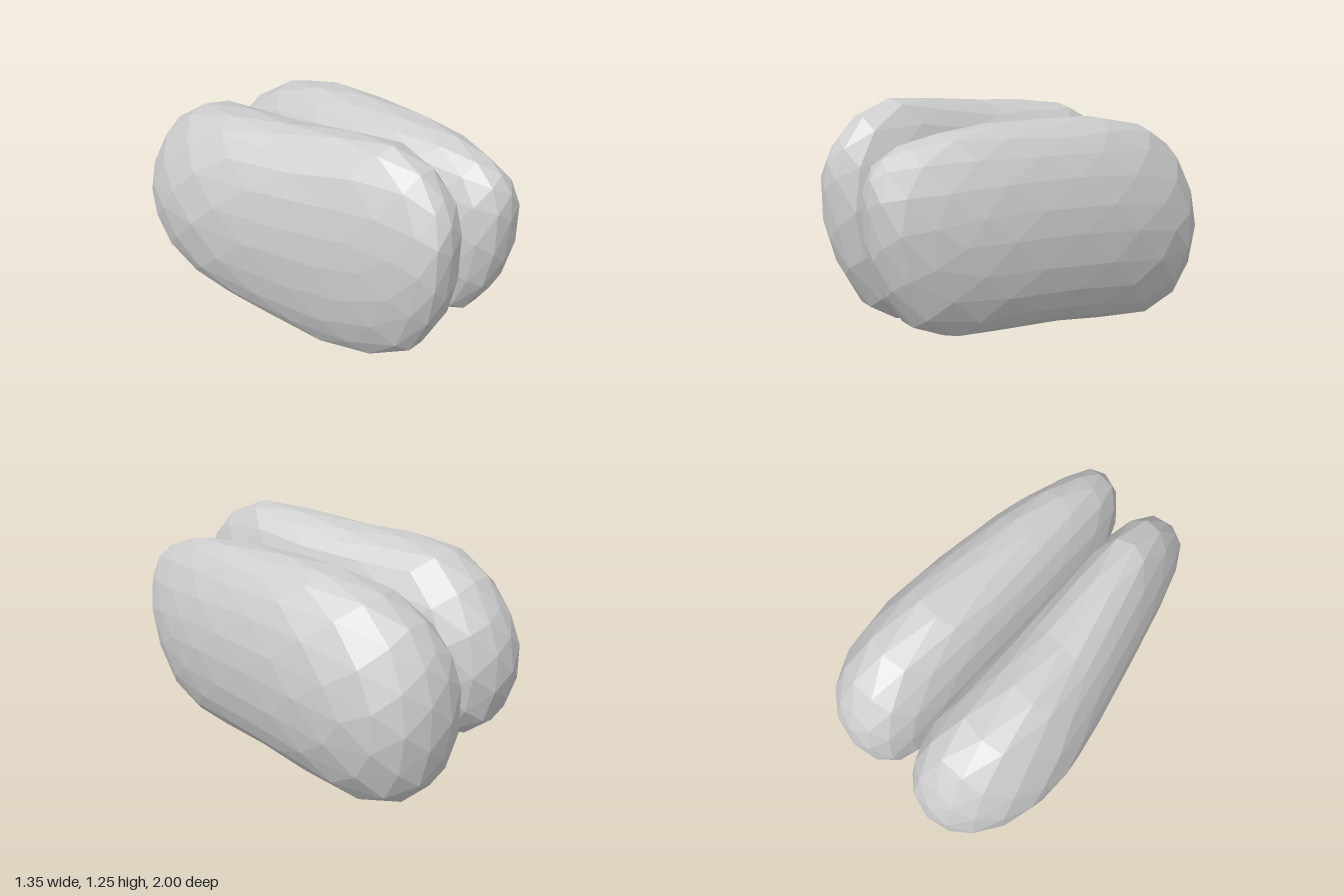
import * as THREE from 'three';

// Cross-sections from front to back: [z, xMin, xMax, yMin, yMax]
const LEFT_LOBE = [
  [1, 0.28, 0.28, 0.81, 0.81],
  [0.99, 0.19, 0.38, 0.59, 0.93],
  [0.93, 0.12, 0.44, 0.39, 1.02],
  [0.8, 0.065, 0.5, 0.19, 1.085],
  [0.6, 0.045, 0.56, 0.11, 1.135],
  [0.35, 0.03, 0.61, 0.1, 1.155],
  [0, 0.02, 0.645, 0.08, 1.158],
  [-0.3, 0.015, 0.672, 0.04, 1.15],
  [-0.6, 0.015, 0.665, 0.003, 1.095],
  [-0.8, 0.035, 0.61, 0.05, 0.98],
  [-0.92, 0.08, 0.52, 0.17, 0.84],
  [-0.98, 0.16, 0.41, 0.35, 0.71],
  [-1, 0.28, 0.28, 0.52, 0.52],
];
const RIGHT_LOBE = [
  [1, -0.2, -0.2, 0.82, 0.82],
  [0.99, -0.29, -0.11, 0.59, 0.95],
  [0.93, -0.33, -0.03, 0.39, 1.06],
  [0.8, -0.38, 0.015, 0.16, 1.19],
  [0.6, -0.44, 0.035, 0.045, 1.26],
  [0.35, -0.51, 0.03, -0.005, 1.24],
  [0, -0.605, 0.01, 0.05, 1.2],
  [-0.3, -0.675, 0.005, 0.09, 1.185],
  [-0.57, -0.672, 0.005, 0.115, 1.155],
  [-0.77, -0.61, -0.025, 0.165, 1.045],
  [-0.91, -0.52, -0.09, 0.28, 0.88],
  [-0.98, -0.42, -0.19, 0.45, 0.74],
  [-1, -0.3, -0.3, 0.58, 0.58],
];

const power = (v, e) => Math.sign(v) * Math.abs(v) ** e;

// Wraps a faceted sphere over a row of rounded cross-sections.
// side is +1 or -1 and points away from the gap between the lobes.
function lobe(name, sections, side, material) {
  const geometry = new THREE.IcosahedronGeometry(1, 3);
  const pos = geometry.attributes.position;
  const last = sections.length - 1;
  for (let i = 0; i < pos.count; i++) {
    const x = pos.getX(i), y = pos.getY(i), z = pos.getZ(i);
    const s = (Math.acos(THREE.MathUtils.clamp(z, -1, 1)) / Math.PI) * last;
    const k = Math.min(Math.floor(s), last - 1);
    const [pz, x0, x1, y0, y1] = sections[k].map((v, j) =>
      THREE.MathUtils.lerp(v, sections[k + 1][j], s - k));
    const r = Math.hypot(x, y) || 1;
    // The inner side is fuller; the outer side slopes more towards the top
    const e = x * side < 0 ? 0.84 : y > 0 ? 1.04 : 0.92;
    pos.setXYZ(i,
      (x0 + x1) / 2 + ((x1 - x0) / 2) * power(x / r, e),
      (y0 + y1) / 2 + ((y1 - y0) / 2) * power(y / r, e),
      pz);
  }
  // Corners are not shared, so these normals are flat per facet
  geometry.computeVertexNormals();
  const mesh = new THREE.Mesh(geometry, material);
  mesh.name = name;
  return mesh;
}

export function createModel() {
  const group = new THREE.Group();
  group.name = 'pairedLobes';
  const grey = new THREE.MeshStandardMaterial({ color: 0xcccccc });
  grey.name = 'light grey';
  group.add(
    lobe('leftLobe', LEFT_LOBE, 1, grey),
    lobe('rightLobe', RIGHT_LOBE, -1, grey));
  return group;
}
